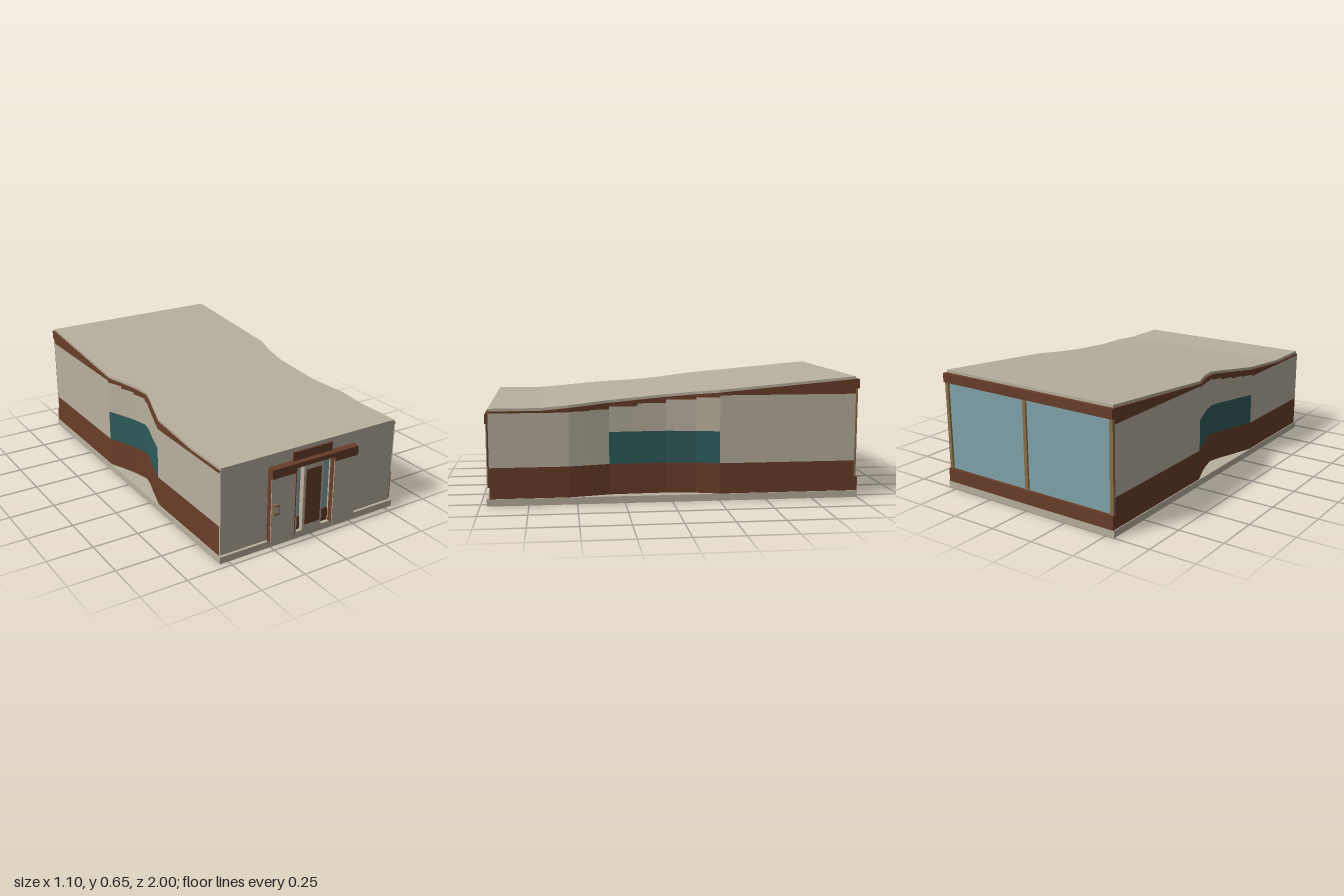
import * as THREE from 'three';

const mat = (name, color) => new THREE.MeshStandardMaterial({ name, color, side: THREE.DoubleSide });

export function createModel() {
  const beige = mat('beige plaster', 0xb8b09e);
  const brown = mat('brown timber', 0x693d29);
  const teal = mat('teal window', 0x2d5a5a);
  const glass = mat('pale glass', 0x7fa3aa);
  const gold = mat('bronze frame', 0x8b7048);
  const model = new THREE.Group();
  model.name = 'pavilion';

  // Box given by its minimum and maximum corners
  function box(name, material, x0, x1, y0, y1, z0, z1) {
    const mesh = new THREE.Mesh(new THREE.BoxGeometry(x1 - x0, y1 - y0, z1 - z0), material);
    mesh.position.set((x0 + x1) / 2, (y0 + y1) / 2, (z0 + z1) / 2);
    mesh.name = name;
    model.add(mesh);
    return mesh;
  }

  // Flat-shaded mesh from a list of four-cornered faces
  function faces(name, material, quads) {
    const pos = [];
    for (const [a, b, c, d] of quads) pos.push(...a, ...b, ...c, ...a, ...c, ...d);
    const geo = new THREE.BufferGeometry();
    geo.setAttribute('position', new THREE.Float32BufferAttribute(pos, 3));
    geo.computeVertexNormals();
    const mesh = new THREE.Mesh(geo, material);
    mesh.name = name;
    model.add(mesh);
  }

  const BASE = 0.037, SILL = 0.2, HEAD = 0.37;
  const roofBottom = z => 0.492 + Math.max(0, 0.68 - z) / 1.65 * 0.145;

  // Side wall stations from front to back: z, distance from centre, wall top behind it
  const rightWall = [
    [0.95, 0.543, 0.482], [0.54, 0.543, 0.485], [0.43, 0.52, 0.49], [0.33, 0.497, 0.503],
    [0.18, 0.491, 0.518], [0.03, 0.487, 0.537], [-0.13, 0.508, 0.548], [-0.25, 0.543, 0.56], [-0.98, 0.543, 0.56],
  ];
  const leftWall = [
    [0.95, 0.543, 0.482], [0.35, 0.543, 0.492], [0.27, 0.518, 0.498], [0.2, 0.497, 0.505],
    [0.12, 0.47, 0.515], [0.05, 0.455, 0.525], [-0.04, 0.475, 0.535], [-0.13, 0.507, 0.548],
    [-0.22, 0.543, 0.56], [-0.98, 0.543, 0.56],
  ];

  // Curved side walls: brown plinth, plaster, ribbon window and stepped fascia
  function sideWall(label, stations, s, winFront, winBack) {
    const plinth = [], plaster = [], win = [], fascia = [];
    for (let i = 0; i < stations.length - 1; i++) {
      const [z0, x0, top] = stations[i], [z1, x1] = stations[i + 1];
      const quad = (lo0, lo1, hi0, hi1) => {
        const q = [[s * x0, lo0, z0], [s * x1, lo1, z1], [s * x1, hi1, z1], [s * x0, hi0, z0]];
        return s > 0 ? q : q.reverse();
      };
      const hasWindow = z0 <= winFront && z1 >= winBack;
      plinth.push(quad(BASE, BASE, SILL, SILL));
      if (hasWindow) win.push(quad(SILL, SILL, HEAD, HEAD));
      plaster.push(quad(hasWindow ? HEAD : SILL, hasWindow ? HEAD : SILL, top, top));
      const r0 = roofBottom(z0), r1 = roofBottom(z1);
      // The roof bends at z = 0.68, so the front stretch is divided there
      const cuts = z0 > 0.68 && z1 < 0.68 ? [z0, 0.68, z1] : [z0, z1];
      for (let k = 0; k < cuts.length - 1; k++) {
        const at = z => x0 + (x1 - x0) * (z - z0) / (z1 - z0);
        const [a, b] = [cuts[k], cuts[k + 1]];
        const ya = roofBottom(a), yb = roofBottom(b);
        const side = [[s * at(a), top, a], [s * at(b), top, b], [s * at(b), yb, b], [s * at(a), ya, a]];
        const ledge = [[s * at(a), ya, a], [s * at(b), yb, b], [s * (at(b) - 0.02), yb, b], [s * (at(a) - 0.02), ya, a]];
        fascia.push(s > 0 ? side : side.reverse(), s > 0 ? ledge : ledge.reverse());
      }
    }
    faces(label + 'WallPlinth', brown, plinth);
    faces(label + 'WallPlaster', beige, plaster);
    faces(label + 'RibbonWindow', teal, win);
    faces(label + 'Fascia', brown, fascia);
  }
  sideWall('right', rightWall, 1, 0.33, -0.25);
  sideWall('left', leftWall, -1, 0.35, -0.22);

  // Roof slab following both waists
  const widthAt = (stations, z) => {
    for (let i = 0; i < stations.length - 1; i++) {
      const [z0, x0] = stations[i], [z1, x1] = stations[i + 1];
      if (z <= z0 && z >= z1) return x0 + (x1 - x0) * (z - z0) / (z1 - z0) - 0.009;
    }
    return 0.534;
  };
  const zs = [...new Set([0.68, ...rightWall.map(p => p[0]), ...leftWall.map(p => p[0])])].sort((a, b) => b - a);
  const ring = z => {
    const r = widthAt(rightWall, z), l = -widthAt(leftWall, z), y = roofBottom(z);
    return [[l, y, z], [r, y, z], [r, y + 0.014, z], [l, y + 0.014, z]];
  };
  const roof = [ring(zs[0]), ring(zs[zs.length - 1]).reverse()];
  for (let i = 0; i < zs.length - 1; i++) {
    const a = ring(zs[i]), b = ring(zs[i + 1]);
    for (let k = 0; k < 4; k++) {
      const n = (k + 1) % 4;
      roof.push([a[k], b[k], b[n], a[n]]);
    }
  }
  faces('roof', beige, roof);

  // Floor slab
  box('floorSlab', beige, -0.548, 0.548, 0, BASE, -1, 0.965);

  // Front wall around the entrance
  for (const s of [-1, 1]) {
    const [a, b] = s < 0 ? [-0.537, -0.12] : [0.12, 0.537];
    box('frontWall', beige, a, b, BASE, 0.492, 0.93, 0.95);
  }
  box('frontWallHead', beige, -0.12, 0.12, 0.41, 0.492, 0.93, 0.95);

  // Entrance surround: brown slabs with plaster faces, lintel and header
  for (const s of [-1, 1]) {
    const [a, b] = s < 0 ? [-0.265, -0.12] : [0.12, 0.265];
    box('entrancePanel', brown, a, b, BASE, 0.39, 0.95, 0.98);
    box('entrancePanelFace', beige, a, b, BASE, 0.39, 0.98, 0.985);
    box('lintelEnd', brown, a, b, 0.39, 0.44, 0.95, 0.99);
  }
  box('lintel', brown, -0.12, 0.12, 0.415, 0.44, 0.95, 0.99);
  box('header', brown, -0.12, 0.12, 0.44, 0.485, 0.95, 0.96);

  // Door with inset panel, side lights and door post
  box('door', beige, -0.06, 0.06, 0.04, 0.413, 0.935, 0.97);
  box('doorPanel', brown, -0.047, 0.047, 0.07, 0.38, 0.97, 0.974);
  box('doorPost', beige, -0.12, -0.1, BASE, 0.413, 0.935, 0.975);
  box('doorPostGroove', brown, -0.122, -0.118, BASE, 0.385, 0.975, 0.987);
  for (const [a, b] of [[-0.1, -0.06], [0.06, 0.12]]) {
    box('sideLight', glass, a, b, 0.11, 0.415, 0.932, 0.94);
    box('sideLightBase', brown, a, b, BASE, 0.11, 0.932, 0.945);
  }

  // Entry panel beside the door
  box('entryPad', gold, -0.256, -0.224, 0.192, 0.25, 0.985, 0.997);
  box('entryPadScreen', beige, -0.249, -0.231, 0.207, 0.236, 0.997, 1.0);

  // Glazed back wall with bronze mullions between brown rails
  box('backGlass', glass, -0.53, 0.53, 0.11, 0.6, -0.982, -0.976);
  box('backBottomRail', brown, -0.543, 0.543, BASE, 0.11, -1, -0.972);
  box('backTopRail', brown, -0.543, 0.543, 0.588, 0.637, -1, -0.972);
  for (const x of [-0.53, 0, 0.53]) box('backMullion', gold, x - 0.01, x + 0.01, 0.11, 0.588, -0.992, -0.972);

  return model;
}
